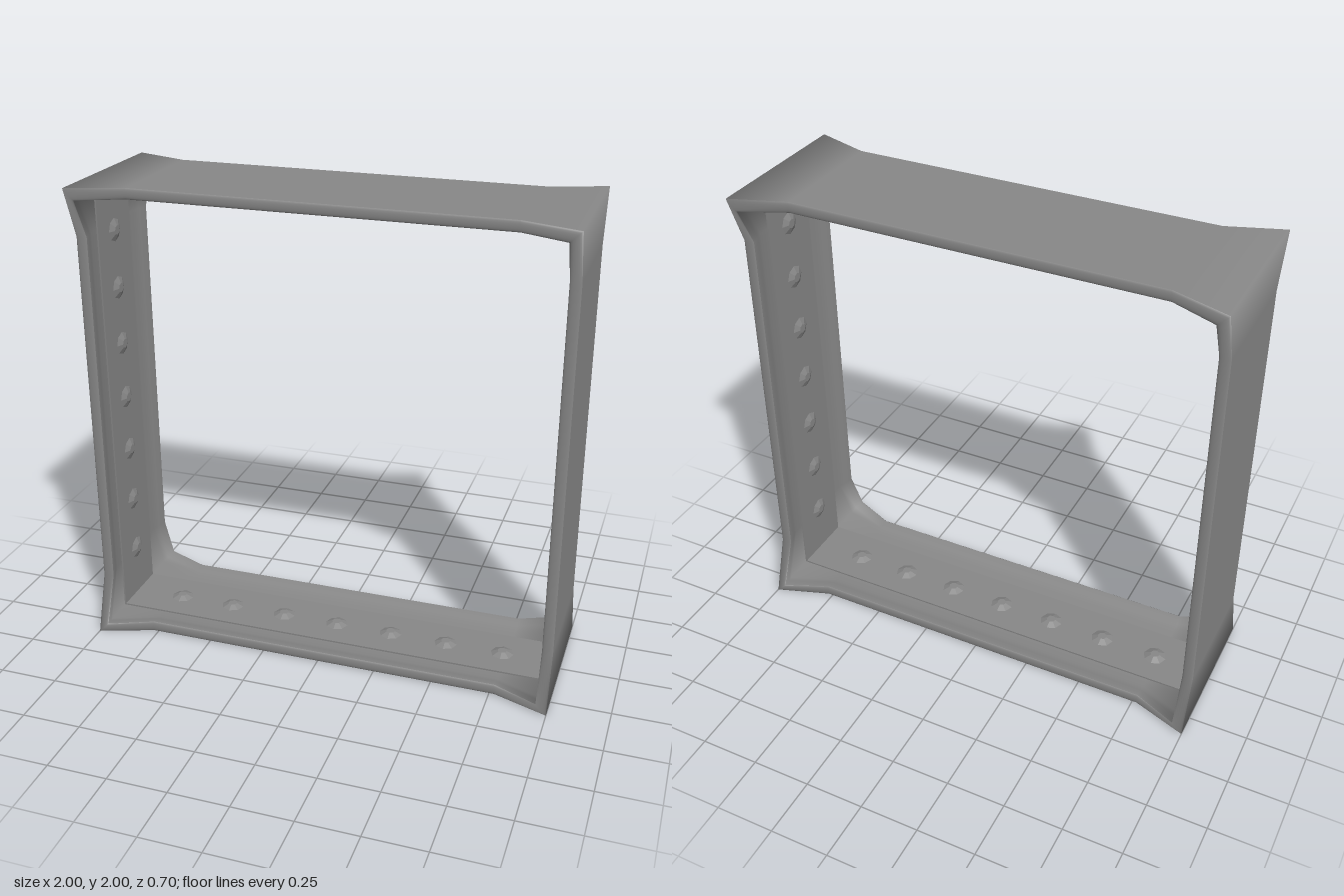
import * as THREE from 'three';

const FLARE = 0.77;      // where each side starts to widen toward a corner
const SHIFT = [0.018, 0, -0.018, 0]; // the upright sides flare slightly higher
const STRIP = 0.14;      // half width of the raised inner plate
const PLATE = 0.028;     // wall thickness at the plate
const CHANNEL = 0.021;   // wall thickness beside the plate
const RIM = 0.045;       // thickness of the lip
const BULGE = 0.006;     // how far the lip is rounded out

// Cross-section bands as [depth from outer face, z], for a wall of half width w
const outer = w => [[0, BULGE - w], [0, w - BULGE]];
const lip = w => Array.from({ length: 9 }, (_, i) => {
  const angle = i / 8 * Math.PI;
  return [RIM / 2 * (1 - Math.cos(angle)), w - BULGE * (1 - Math.sin(angle))];
});
const flank = w => [[RIM, w - BULGE], [0.043, w - 0.022], [0.034, w - 0.05], [0.025, w - 0.08], [CHANNEL, STRIP]];
const plate = () => [[CHANNEL, STRIP], [PLATE, STRIP], [PLATE, -STRIP], [CHANNEL, -STRIP]];
const mirrored = band => w => band(w).map(([a, z]) => [a, -z]).reverse();

// Sweeps one band around the square loop, with wider stations at the corners
function sweep(name, band, material, sharp = false) {
  const stations = [];
  for (let k = 0; k < 4; k++) {
    stations.push([k, SHIFT[k] - FLARE, 0.272], [k, SHIFT[k] + FLARE, 0.272], [k, 1, 0.352]);
  }
  const pos = [], normals = [], index = [], n = band(0.3).length;
  const axis = new THREE.Vector3(0, 0, 1);
  for (const [k, t, w] of stations) {
    const points = band(w), corner = t === 1;
    points.forEach(([a, z], j) => {
      const p = new THREE.Vector3(1 - a, corner ? 1 - a : t, z).applyAxisAngle(axis, k * Math.PI / 2);
      pos.push(p.x, p.y + 1, p.z);
      // Normal across the profile, turned to the diagonal at a corner
      const [a0, z0] = points[Math.max(j - 1, 0)], [a1, z1] = points[Math.min(j + 1, n - 1)];
      const side = new THREE.Vector2(z1 - z0, a1 - a0).normalize();
      const normal = new THREE.Vector3(side.x, 0, side.y);
      normal.applyAxisAngle(axis, (k + (corner ? 0.5 : 0)) * Math.PI / 2);
      normals.push(normal.x, normal.y, normal.z);
    });
  }
  for (let i = 0; i < stations.length; i++) {
    const i2 = (i + 1) % stations.length;
    for (let j = 0; j < n - 1; j++) {
      const a = i * n + j, b = i2 * n + j;
      index.push(a, b, b + 1, a, b + 1, a + 1);
    }
  }
  let geometry = new THREE.BufferGeometry();
  geometry.setAttribute('position', new THREE.Float32BufferAttribute(pos, 3));
  geometry.setAttribute('normal', new THREE.Float32BufferAttribute(normals, 3));
  geometry.setIndex(index);
  if (sharp) {
    geometry = geometry.toNonIndexed();
    geometry.computeVertexNormals();
  }
  const mesh = new THREE.Mesh(geometry, material);
  mesh.name = name;
  return mesh;
}

export function createModel() {
  const model = new THREE.Group();
  model.name = 'squareFrame';
  const material = new THREE.MeshStandardMaterial({ color: 0x878787 });

  // Frame walls
  model.add(
    sweep('outerSkin', outer, material),
    sweep('frontLip', lip, material),
    sweep('frontFlank', flank, material),
    sweep('innerPlate', plate, material, true),
    sweep('backFlank', mirrored(flank), material),
    sweep('backLip', mirrored(lip), material),
  );

  // Seven low faceted studs along each inner plate
  const studMaterial = material.clone();
  studMaterial.flatShading = true;
  const height = 0.013;
  const studGeometry = new THREE.CylinderGeometry(0.02, 0.05, height, 8);
  studGeometry.rotateZ(Math.PI / 2); // narrow end toward the opening
  for (let k = 0; k < 4; k++) {
    const row = new THREE.Group();
    row.name = 'studRow';
    for (let i = -3; i <= 3; i++) {
      const stud = new THREE.Mesh(studGeometry, studMaterial);
      stud.name = 'stud';
      stud.position.set(1 - PLATE - height / 2, i * 0.25, 0);
      row.add(stud);
    }
    row.rotation.z = k * Math.PI / 2;
    row.position.y = 1;
    model.add(row);
  }
  return model;
}
